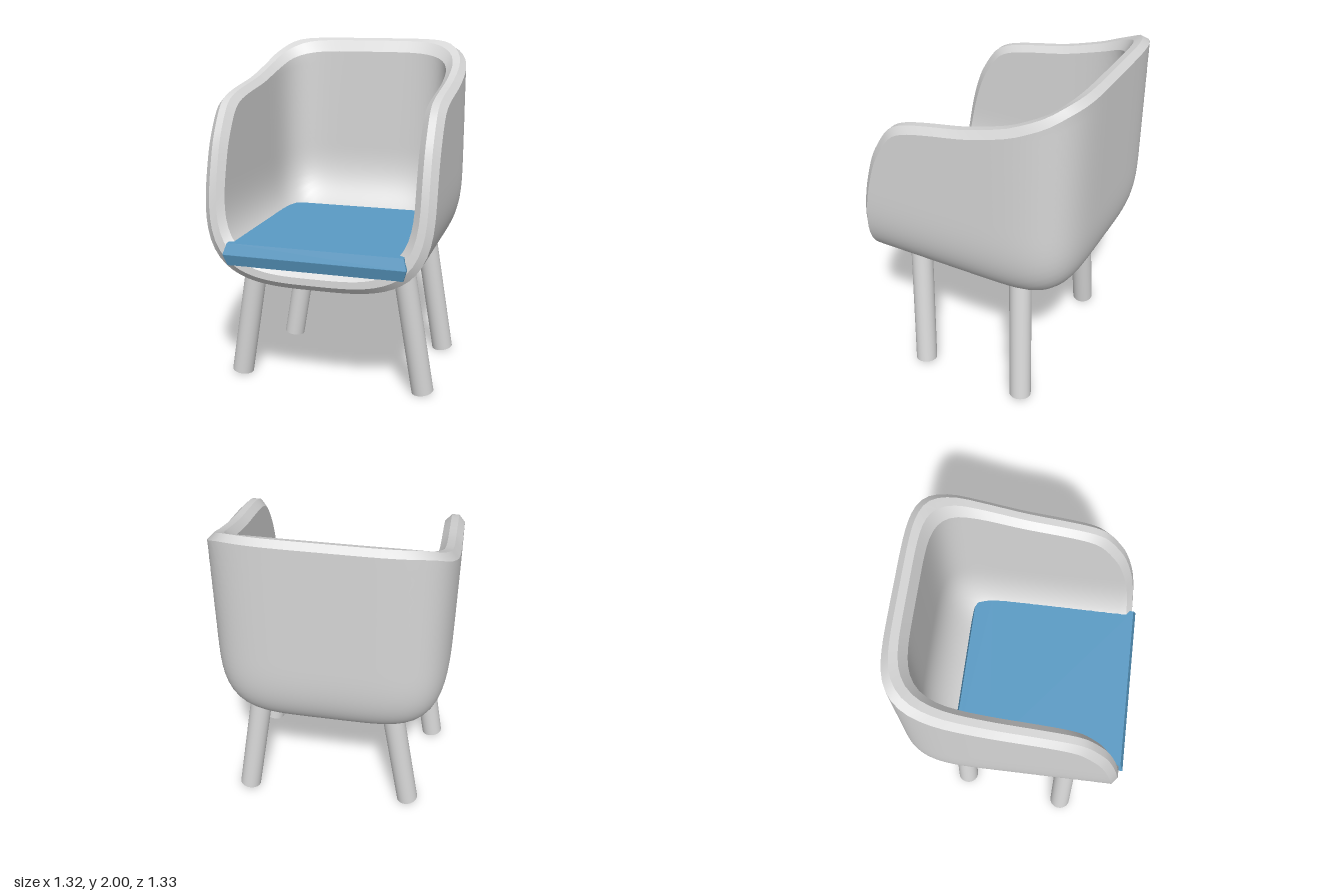
import * as THREE from 'three';
import { mergeGeometries } from 'three/addons/utils/BufferGeometryUtils.js';

const AROUND = 128;   // points around the rim loop
const STEPS = 32;     // rings from the heel of the tub to the rim
const CENTRE_Y = 1.3;

// Rim line seen from the side (z, y): back top, along the arm, down the front
const rimLine = new THREE.SplineCurve([
  [-0.75, 2.02], [-0.61, 2.0], [-0.5, 1.94], [-0.39, 1.89], [-0.29, 1.85], [-0.07, 1.79],
  [0.14, 1.755], [0.25, 1.735], [0.34, 1.71], [0.41, 1.665], [0.48, 1.565], [0.535, 1.45],
  [0.59, 1.25], [0.625, 1.02], [0.645, 0.81], [0.65, 0.6],
].map(([z, y]) => new THREE.Vector2(z, y))).getPoints(120);

function rimHeight(z) {
  if (z <= rimLine[0].x) return rimLine[0].y;
  for (let i = 1; i < rimLine.length; i++) {
    const a = rimLine[i - 1], b = rimLine[i];
    if (z <= b.x) return a.y + (b.y - a.y) * (z - a.x) / Math.max(b.x - a.x, 1e-6);
  }
  return -1;
}

// Point of the tub wall along a direction; depth 0 is the outside, 1 the inside
function wallPoint(dir, depth) {
  const a = 0.66 - 0.115 * depth, b = 0.666 - 0.116 * depth, h = 0.61 - 0.11 * depth;
  const px = Math.pow(Math.abs(dir.x) / a, 5);
  const pz = Math.pow(Math.max(-dir.z, 0) / b, 5);
  const backShare = pz / Math.max(px + pz, 1e-12);
  const m = 3.4 - 0.9 * depth * backShare;
  const plan = Math.pow(px + pz, m / 5);
  const f = Math.pow(plan + Math.pow(Math.max(-dir.y, 0) / h, m), 1 / m);
  const p = dir.clone().divideScalar(Math.max(f, 1e-5));
  p.y += CENTRE_Y;
  return p;
}

// Directions fan out from the lower back of the tub
const heel = new THREE.Vector3(0, -1, -1).normalize();
const sideways = new THREE.Vector3(1, 0, 0);
const upBack = new THREE.Vector3(0, 1, -1).normalize();
function fan(j, t) {
  const phi = (j / AROUND) * Math.PI * 2;
  return heel.clone().multiplyScalar(Math.cos(t))
    .addScaledVector(sideways, Math.cos(phi) * Math.sin(t))
    .addScaledVector(upBack, Math.sin(phi) * Math.sin(t));
}

// Angle at which each fan line meets the rim, lowered by the bevel
function rimAngles(depth, bevel) {
  return Array.from({ length: AROUND }, (_, j) => {
    let lo = 0, hi = Math.PI * 0.97;
    for (let n = 0; n < 32; n++) {
      const mid = (lo + hi) / 2;
      const p = wallPoint(fan(j, mid), depth);
      if (p.y < rimHeight(p.z + bevel) - bevel) lo = mid; else hi = mid;
    }
    return lo;
  });
}

function ring(angles, depth, share = 1) {
  return angles.map((t, j) => wallPoint(fan(j, t * share), depth));
}

// Smooth skin over a list of closed rings
function skin(rings) {
  const pos = [], index = [];
  rings.forEach((r) => r.forEach((p) => pos.push(p.x, p.y, p.z)));
  for (let i = 0; i < rings.length - 1; i++) {
    for (let j = 0; j < AROUND; j++) {
      const k = (j + 1) % AROUND;
      const a = i * AROUND + j, b = i * AROUND + k;
      const c = a + AROUND, d = b + AROUND;
      index.push(a, b, c, b, d, c);
    }
  }
  const g = new THREE.BufferGeometry();
  g.setAttribute('position', new THREE.Float32BufferAttribute(pos, 3));
  g.setIndex(index);
  g.computeVertexNormals();
  return g;
}

function tubGeometry() {
  const outer = rimAngles(0, 0.03), inner = rimAngles(1, 0.03);
  const shares = Array.from({ length: STEPS + 1 }, (_, i) => i / STEPS);
  const outerRings = shares.map((s) => ring(outer, 0, s));
  const innerRings = shares.map((s) => ring(inner, 1, 1 - s));
  // Bevelled rim between the two walls
  const rim = [
    outerRings[STEPS],
    ring(rimAngles(0.32, 0), 0.32),
    ring(rimAngles(0.68, 0), 0.68),
    innerRings[0],
  ];
  const parts = [skin(outerRings), skin(innerRings)];
  for (let i = 0; i < 3; i++) parts.push(skin([rim[i], rim[i + 1]]));
  return mergeGeometries(parts);
}

// Seat pad with a sharp ridge around its edge
function cushionGeometry() {
  const half = [[0.505, -0.645], [0.505, 0.15], [0.492, 0.26], [0.465, 0.345], [0.41, 0.365]];
  const outline = [...half, ...half.map(([x, y]) => [-x, y]).reverse()];
  const shape = new THREE.Shape(outline.map(([x, y]) => new THREE.Vector2(x, y)));
  const g = new THREE.ExtrudeGeometry(shape, {
    depth: 0.002, bevelEnabled: true, bevelThickness: 0.064, bevelSize: 0.02, bevelSegments: 1,
  });
  g.rotateX(-Math.PI / 2);
  g.translate(0, 0.864, 0);
  return g;
}

function leg(name, foot, top, material) {
  const a = new THREE.Vector3(...foot), b = new THREE.Vector3(...top);
  const axis = b.clone().sub(a);
  const mesh = new THREE.Mesh(new THREE.CylinderGeometry(0.065, 0.065, axis.length(), 28), material);
  mesh.name = name;
  mesh.position.copy(a).add(b).multiplyScalar(0.5);
  mesh.quaternion.setFromUnitVectors(new THREE.Vector3(0, 1, 0), axis.normalize());
  return mesh;
}

export function createModel() {
  const grey = new THREE.MeshStandardMaterial({ color: 0xd6d6d6 });
  grey.name = 'light grey';
  const blue = new THREE.MeshStandardMaterial({ color: 0x5a9bc5 });
  blue.name = 'blue fabric';

  const chair = new THREE.Group();
  chair.name = 'tubChair';

  const tub = new THREE.Mesh(tubGeometry(), grey);
  tub.name = 'tubShell';
  const cushion = new THREE.Mesh(cushionGeometry(), blue);
  cushion.name = 'seatCushion';
  chair.add(tub, cushion);

  // Splayed legs
  chair.add(
    leg('frontLeftLeg', [0.56, 0.012, 0.305], [0.442, 0.81, 0.365], grey),
    leg('backLeftLeg', [0.56, 0.012, -0.37], [0.442, 0.81, -0.305], grey),
    leg('frontRightLeg', [-0.572, 0.012, 0.325], [-0.44, 0.81, 0.33], grey),
    leg('backRightLeg', [-0.468, 0.012, -0.335], [-0.335, 0.81, -0.335], grey),
  );
  return chair;
}
